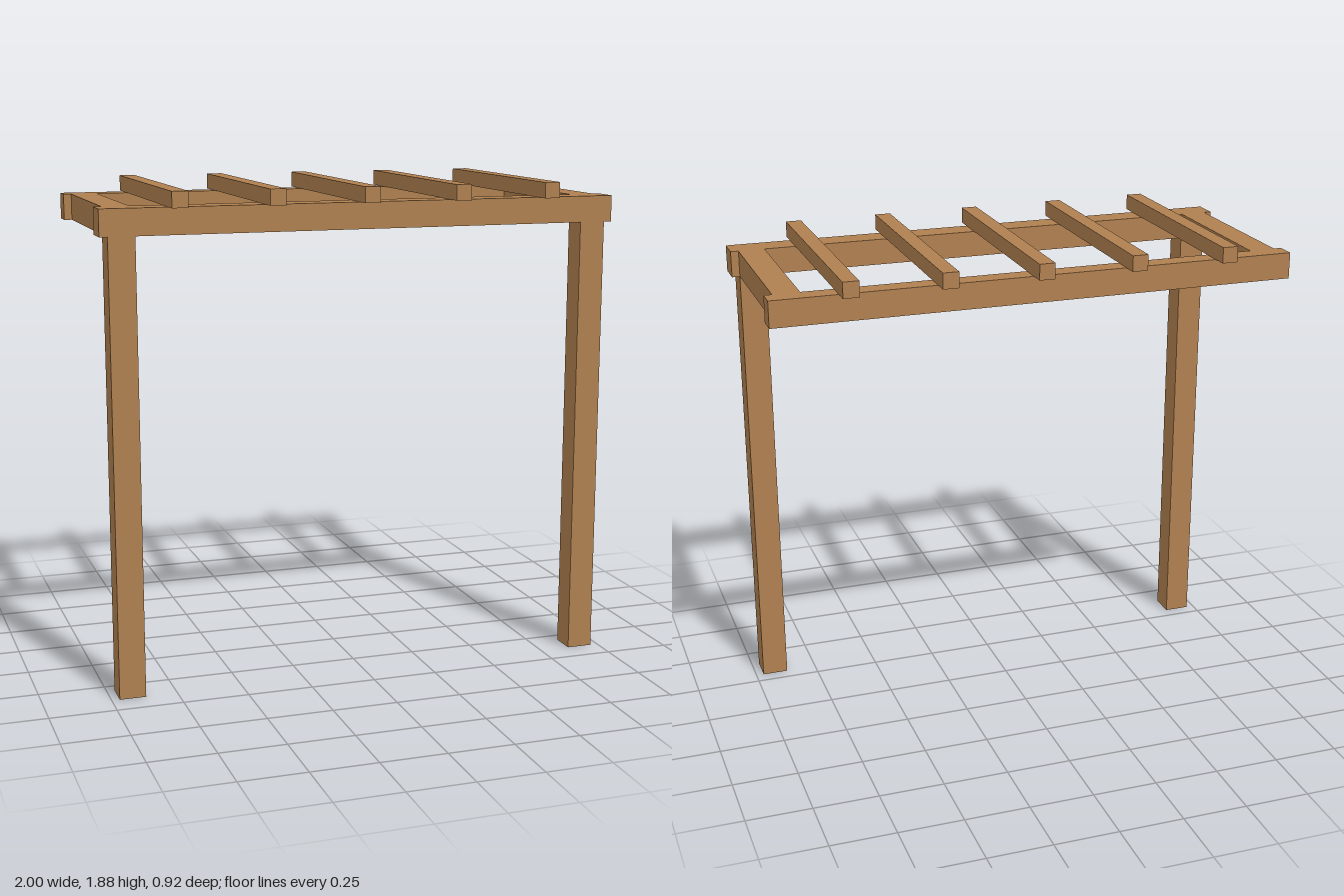
import * as THREE from 'three';

export function createModel() {
  const group = new THREE.Group();
  const wood = new THREE.MeshStandardMaterial({ color: 0xb08050 });
  wood.name = 'wood';

  // Timber spanning the given min/max corners
  function timber(name, [x0, x1], [y0, y1], [z0, z1]) {
    const mesh = new THREE.Mesh(new THREE.BoxGeometry(x1 - x0, y1 - y0, z1 - z0), wood);
    mesh.position.set((x0 + x1) / 2, (y0 + y1) / 2, (z0 + z1) / 2);
    mesh.name = name;
    group.add(mesh);
  }

  const beamY = [1.72, 1.82];

  // Long beams: thick one on the posts, thinner ledger at the back
  timber('frontBeam', [-1, 1], beamY, [0.3, 0.4]);
  timber('backLedger', [-1, 1], beamY, [-0.4, -0.325]);

  // Posts and side beams, mirrored
  for (const [side, x] of [['left', 0.92], ['right', -0.92]]) {
    const span = [x - 0.05, x + 0.05];
    timber(side + 'Post', span, [0, 1.72], [0.3, 0.4]);
    timber(side + 'SideBeam', span, beamY, [-0.325, 0.3]);
  }

  // Rafters laid across the beams
  for (let i = 0; i < 5; i++) {
    const x = (i - 2) * 0.36;
    timber('rafter' + (i + 1), [x - 0.03, x + 0.03], [1.82, 1.88], [-0.46, 0.46]);
  }

  return group;
}
